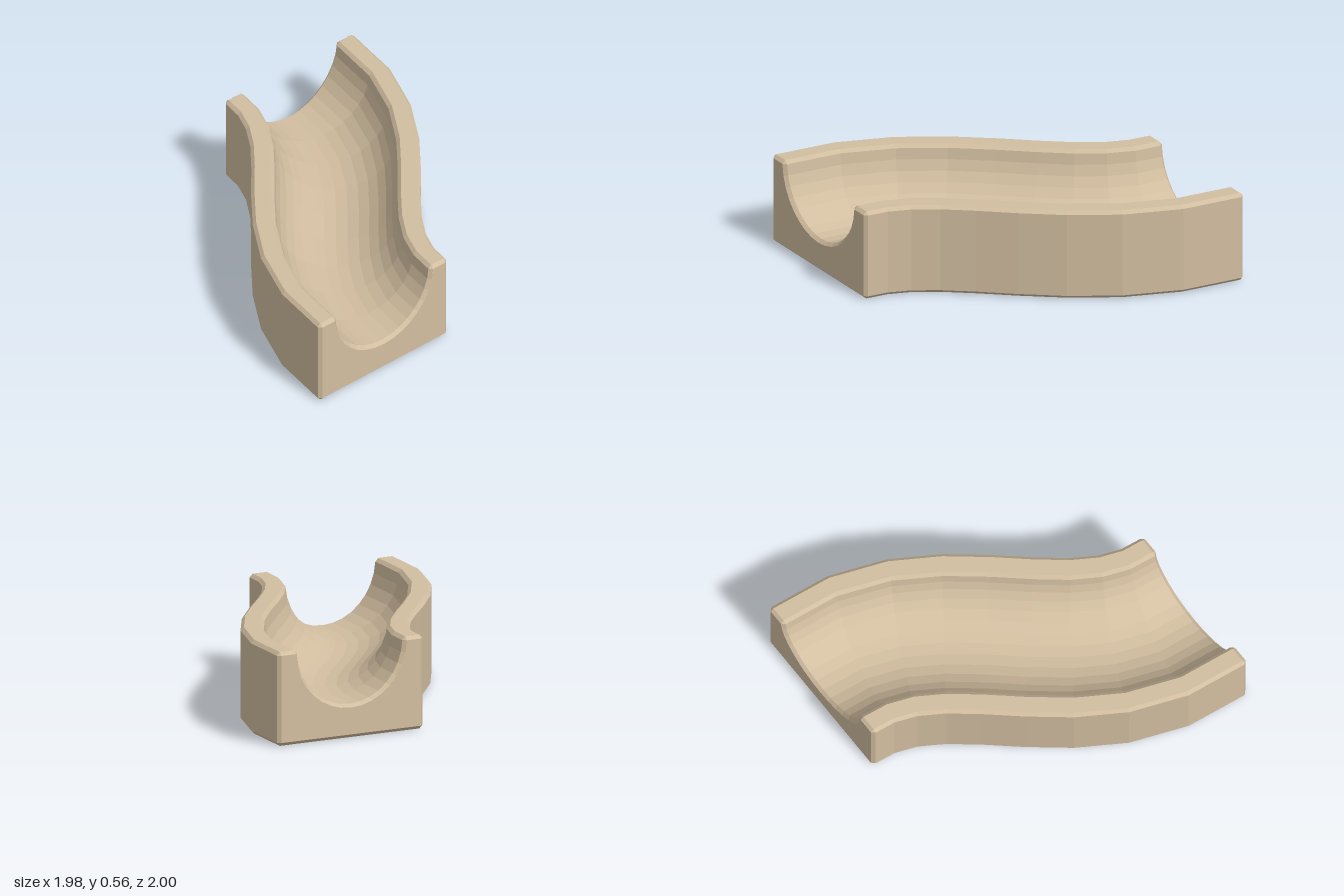
import * as THREE from 'three';

const HALF = 0.495, TOP = 0.56, BEVEL = 0.02, GROOVE = 0.36;
const SEGMENTS = 9, ARC = 16;

// Closed cross-section, counter-clockwise; the end version is inset by the bevel
function section(isEnd) {
  const inset = HALF - BEVEL, lip = GROOVE + BEVEL, low = TOP - BEVEL;
  const radius = isEnd ? lip : GROOVE;
  const side = isEnd
    ? [[inset, BEVEL], [inset, BEVEL], [inset, low], [inset, low], [lip, low]]
    : [[inset, 0], [HALF, BEVEL], [HALF, low], [inset, TOP], [lip, TOP]];
  const start = Math.asin(BEVEL / radius);
  const arc = [];
  for (let i = 0; i <= ARC; i++) {
    const a = start + (Math.PI - 2 * start) * i / ARC;
    arc.push([radius * Math.cos(a), TOP - radius * Math.sin(a)]);
  }
  const mirrored = side.map(([x, y]) => [-x, y]).reverse();
  return [...side, ...arc, ...mirrored].map(([x, y]) => new THREE.Vector2(x, y));
}

function channelGeometry() {
  const full = section(false), end = section(true), n = full.length;
  const path = new THREE.CubicBezierCurve(
    new THREE.Vector2(-HALF, 1), new THREE.Vector2(-HALF, 0.12),
    new THREE.Vector2(HALF, -0.12), new THREE.Vector2(HALF, -1));
  const positions = [], index = [];

  // Place one cross-section across the path (path y is the model's z)
  const addRing = (points, centre, tangent) => {
    for (const p of points) {
      positions.push(centre.x - tangent.y * p.x, p.y, centre.y + tangent.x * p.x);
    }
  };
  const ahead = new THREE.Vector2(0, -1);
  addRing(end, new THREE.Vector2(-HALF, 1), ahead);
  for (let i = 0; i <= SEGMENTS; i++) {
    const t = i / SEGMENTS;
    const centre = path.getPoint(t);
    const atEnd = i === 0 || i === SEGMENTS;
    if (atEnd) centre.y -= Math.sign(centre.y) * BEVEL;
    addRing(full, centre, atEnd ? ahead : path.getTangent(t));
  }
  addRing(end, new THREE.Vector2(HALF, -1), ahead);

  // Skin between neighbouring rings
  const rings = SEGMENTS + 3;
  for (let r = 0; r < rings - 1; r++) {
    for (let j = 0; j < n; j++) {
      const a = r * n + j, b = r * n + (j + 1) % n;
      index.push(a, a + n, b, b, a + n, b + n);
    }
  }

  // Flat end faces
  const keep = end.map((p, j) => j).filter(j => end[j].distanceTo(end[(j + n - 1) % n]) > 0.002);
  const last = (rings - 1) * n;
  for (const [a, b, c] of THREE.ShapeUtils.triangulateShape(keep.map(j => end[j]), [])) {
    index.push(keep[a], keep[b], keep[c]);
    index.push(last + keep[a], last + keep[c], last + keep[b]);
  }

  const geometry = new THREE.BufferGeometry();
  geometry.setAttribute('position', new THREE.Float32BufferAttribute(positions, 3));
  geometry.setIndex(index);
  geometry.computeVertexNormals();
  return geometry;
}

export function createModel() {
  const group = new THREE.Group();
  group.name = 'curvedTrack';
  const wood = new THREE.MeshStandardMaterial({ color: 0xd2bea0, flatShading: true });
  const channel = new THREE.Mesh(channelGeometry(), wood);
  channel.name = 'groovedChannel';
  group.add(channel);
  return group;
}
